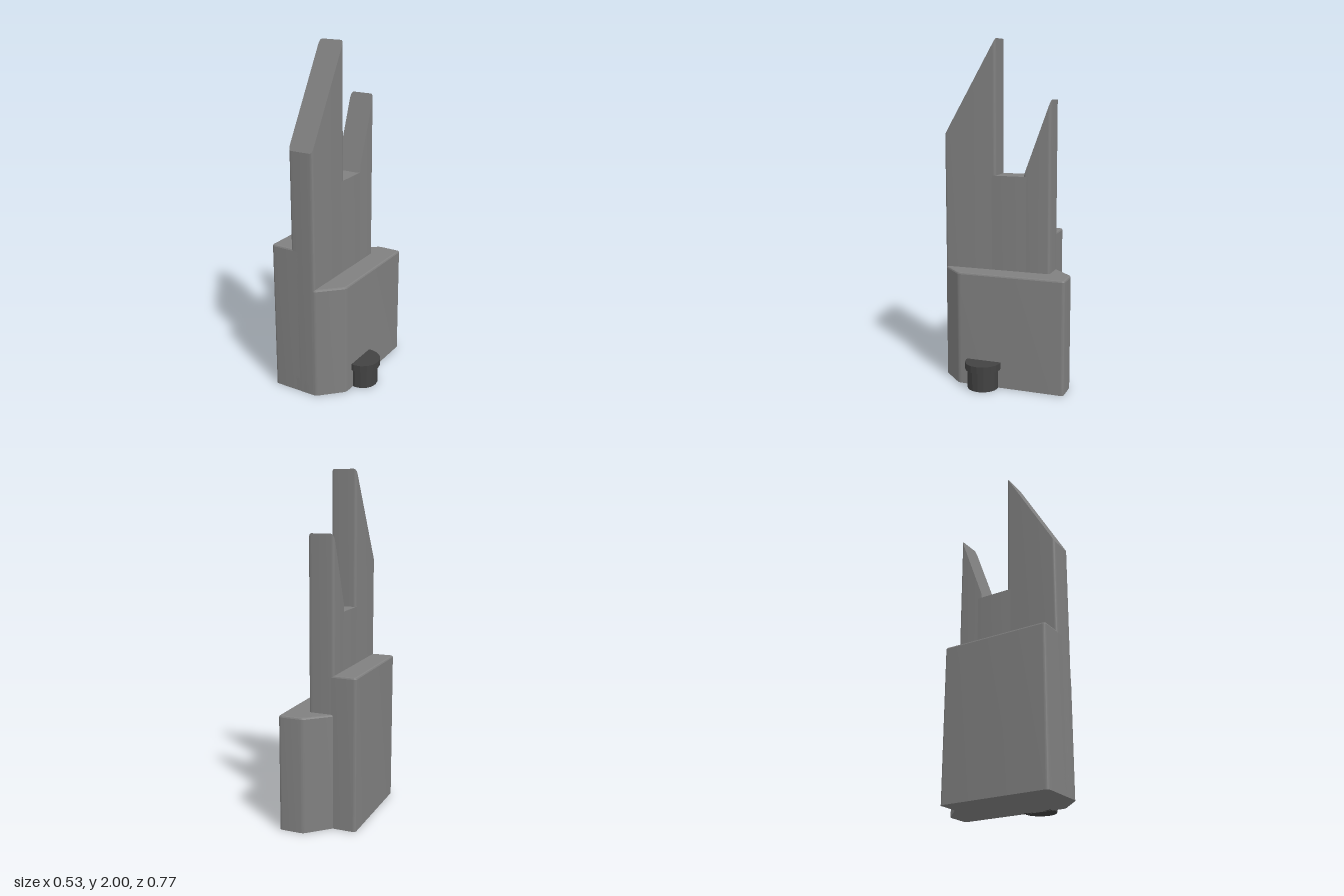
import * as THREE from 'three';
import { toCreasedNormals } from 'three/addons/utils/BufferGeometryUtils.js';

const BEVEL = 0.01;
const bodyMaterial = new THREE.MeshStandardMaterial({ color: 0x808080 });
const pegMaterial = new THREE.MeshStandardMaterial({ color: 0x424242 });

// Closed footprint from [x, z] points with softened corners
function roundedShape(points, r) {
  const shape = new THREE.Shape();
  const corners = points.map(([x, z]) => new THREE.Vector2(x, -z));
  const n = corners.length;
  corners.forEach((p, i) => {
    const toward = (q) => q.clone().sub(p).setLength(r).add(p);
    const a = toward(corners[(i + n - 1) % n]);
    const b = toward(corners[(i + 1) % n]);
    if (i === 0) shape.moveTo(a.x, a.y);
    else shape.lineTo(a.x, a.y);
    shape.quadraticCurveTo(p.x, p.y, b.x, b.y);
  });
  shape.closePath();
  return shape;
}

function finish(geometry, name, material) {
  const mesh = new THREE.Mesh(toCreasedNormals(geometry, 0.3), material);
  mesh.name = name;
  return mesh;
}

// Upright block: soft top rim, flat bottom
function block(name, footprint, height) {
  const g = new THREE.ExtrudeGeometry(roundedShape(footprint, 0.018), {
    depth: height - BEVEL, curveSegments: 6, bevelSegments: 2,
    bevelSize: BEVEL, bevelOffset: -BEVEL, bevelThickness: BEVEL,
  });
  g.rotateX(-Math.PI / 2);
  const pos = g.attributes.position;
  for (let i = 0; i < pos.count; i++) pos.setY(i, Math.max(0, pos.getY(i)));
  return finish(g, name, bodyMaterial);
}

// Blade section between two z values, its top running from height y0 to y1
function bladeSection(name, z0, z1, y0, y1) {
  const x0 = -0.135, x1 = 0.015;
  const footprint = [[x0, z1], [x1, z1], [x1, z0], [x0, z0]];
  const g = new THREE.ExtrudeGeometry(roundedShape(footprint, 0.018), {
    depth: 1, curveSegments: 6, bevelEnabled: false,
  });
  g.rotateX(-Math.PI / 2);
  const pos = g.attributes.position;
  for (let i = 0; i < pos.count; i++) {
    const top = THREE.MathUtils.mapLinear(pos.getZ(i), z0, z1, y0, y1);
    pos.setY(i, pos.getY(i) > 0.5 ? top : 0);
  }
  return finish(g, name, bodyMaterial);
}

export function createModel() {
  const model = new THREE.Group();

  // Lower body with two slanted corners, running into the shoulder
  model.add(block('base', [
    [-0.08, 0.385], [0.015, 0.385], [0.145, 0.255], [0.145, -0.385],
    [0, -0.385], [-0.15, -0.24], [-0.15, -0.18], [-0.08, -0.18],
  ], 0.67));

  // Taller step beside the blade
  model.add(block('shoulder', [
    [-0.265, 0.385], [-0.06, 0.385], [-0.06, -0.26], [-0.265, -0.26],
  ], 0.89));

  // Forked blade: two slanted prongs with a flat notch floor between
  const blade = new THREE.Group();
  blade.name = 'forkedBlade';
  blade.add(
    bladeSection('frontProng', 0.068, 0.385, 2, 1.45),
    bladeSection('notchFloor', -0.15, 0.11, 1.225, 1.225),
    bladeSection('backProng', -0.26, -0.1, 1.66, 1.225),
  );
  model.add(blade);

  // Side peg: stem with a wider cap, half sunk into the body
  const peg = new THREE.Group();
  peg.name = 'sidePeg';
  for (const [name, radius, y0, y1] of [['pegStem', 0.09, 0, 0.115], ['pegCap', 0.105, 0.115, 0.155]]) {
    const g = new THREE.CylinderGeometry(radius, radius, y1 - y0, 16);
    g.translate(0.16, (y0 + y1) / 2, 0.095);
    peg.add(finish(g, name, pegMaterial));
  }
  model.add(peg);

  return model;
}
